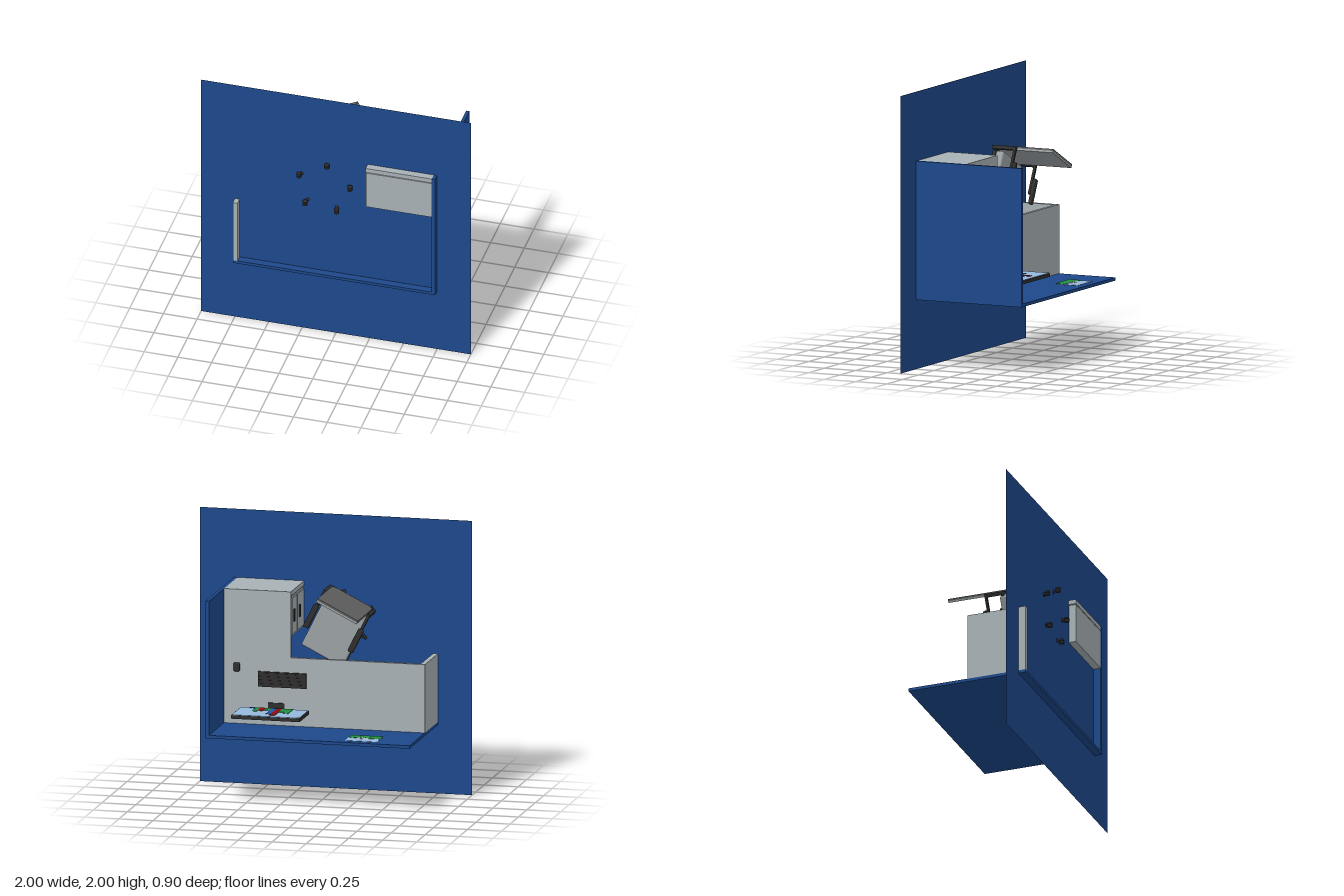
import * as THREE from 'three';
import { RoundedBoxGeometry } from 'three/addons/geometries/RoundedBoxGeometry.js';

const mat = (name, color, side = THREE.FrontSide) => {
  const m = new THREE.MeshStandardMaterial({ color, side });
  m.name = name;
  return m;
};
const M = {
  blue: mat('panelBlue', 0x1d488b, THREE.DoubleSide),
  gray: mat('deskGray', 0xa7b1b5),
  shell: mat('chairShell', 0x5f5f5f),
  cushion: mat('cushionGray', 0x9aa1a3),
  dark: mat('darkPlastic', 0x2e2e2e),
  sky: mat('skyBlue', 0x96b8dc),
  green: mat('green', 0x1f8f40),
  red: mat('red', 0x8c0c0c),
  chart: mat('chartBlue', 0x2450a0),
  cloud: mat('cloud', 0xb4b8b4),
};

function add(parent, name, geo, material, x = 0, y = 0, z = 0) {
  const m = new THREE.Mesh(geo, material);
  m.name = name;
  m.position.set(x, y, z);
  parent.add(m);
  return m;
}
// box given by its min and max on each axis
const box = (p, name, m, x0, x1, y0, y1, z0, z1) =>
  add(p, name, new THREE.BoxGeometry(x1 - x0, y1 - y0, z1 - z0), m,
    (x0 + x1) / 2, (y0 + y1) / 2, (z0 + z1) / 2);
// tapered cylinder between two points
function rod(p, name, m, a, b, ra, rb, sides = 10) {
  const d = b.clone().sub(a);
  const r = add(p, name, new THREE.CylinderGeometry(rb, ra, d.length(), sides), m);
  r.position.copy(a).addScaledVector(d, 0.5);
  r.quaternion.setFromUnitVectors(new THREE.Vector3(0, 1, 0), d.normalize());
}
const V = (x, y, z) => new THREE.Vector3(x, y, z);

function buildChair() {
  const chair = new THREE.Group();
  chair.name = 'chair';
  // five-star base with casters
  for (let i = 0; i < 5; i++) {
    const t = (i * 72 - 15.6) * Math.PI / 180;
    const c = Math.cos(t), s = Math.sin(t);
    rod(chair, 'baseLeg', M.dark, V(c * 0.015, 0.165, s * 0.015), V(c * 0.2, 0.05, s * 0.2), 0.02, 0.012, 8);
    const caster = new THREE.Group();
    caster.name = 'caster';
    caster.position.set(c * 0.2, 0.022, s * 0.2);
    caster.rotation.y = 0.464;
    for (const k of [-1, 1]) {
      add(caster, 'wheel', new THREE.CylinderGeometry(0.019, 0.019, 0.014, 12), M.dark, 0, 0, k * 0.009).rotation.x = Math.PI / 2;
    }
    chair.add(caster);
  }
  rod(chair, 'column', M.dark, V(0, 0.14, 0), V(0, 0.295, 0), 0.034, 0.018, 12);
  // seat
  box(chair, 'seatPan', M.dark, -0.17, 0.17, 0.285, 0.312, -0.25, 0.225);
  add(chair, 'seatCushion', new RoundedBoxGeometry(0.34, 0.06, 0.44, 2, 0.014), M.cushion, 0, 0.34, -0.03);
  // backrest with rounded lower corners
  const w = 0.166, r = 0.04, b = 0.302, t = 0.757;
  const s = new THREE.Shape();
  s.moveTo(-w + r, b);
  s.lineTo(w - r, b);
  s.quadraticCurveTo(w, b, w, b + r);
  s.lineTo(w, t);
  s.lineTo(-w, t);
  s.lineTo(-w, b + r);
  s.quadraticCurveTo(-w, b, -w + r, b);
  const slab = new THREE.ExtrudeGeometry(s, { depth: 0.014, bevelEnabled: false, curveSegments: 6 });
  add(chair, 'backrestShell', slab, M.shell, 0, 0, 0.216);
  add(chair, 'backrestCushion', slab, M.cushion, 0, 0, 0.202);
  // rear frame and armrests
  box(chair, 'rearFrame', M.dark, -0.19, 0.19, 0.285, 0.302, 0.195, 0.222);
  for (const k of [-1, 1]) {
    const x = k * 0.18;
    box(chair, 'frameUpright', M.dark, x - 0.011, x + 0.011, 0.285, 0.47, 0.195, 0.222);
    box(chair, 'armBracket', M.dark, x - 0.01, x + 0.01, 0.455, 0.473, -0.01, 0.22);
    add(chair, 'armPad', new RoundedBoxGeometry(0.045, 0.028, 0.19, 2, 0.012), M.dark, k * 0.183, 0.487, 0.01);
  }
  chair.position.set(-0.084, 0, 0.25);
  chair.rotation.y = -0.464;
  return chair;
}

function buildMonitor() {
  const g = new THREE.Group();
  g.name = 'monitor';
  box(g, 'casing', M.dark, 0.085, 0.59, 0.508, 0.792, -0.371, -0.347);
  box(g, 'screen', M.sky, 0.09, 0.585, 0.513, 0.787, -0.348, -0.343);
  box(g, 'neck', M.dark, 0.33, 0.35, 0.45, 0.56, -0.37, -0.35);
  box(g, 'foot', M.dark, 0.28, 0.4, 0.447, 0.455, -0.405, -0.315);
  // bar chart: x start, x end, top, colour
  const bars = [
    [0.2, 0.24, 0.66, M.green], [0.24, 0.28, 0.63, M.green], [0.28, 0.318, 0.745, M.red],
    [0.318, 0.355, 0.708, M.chart], [0.355, 0.4, 0.59, M.green], [0.4, 0.44, 0.608, M.red],
    [0.44, 0.475, 0.635, M.green], [0.475, 0.515, 0.535, M.chart],
  ];
  for (const [x0, x1, top, m] of bars) box(g, 'chartBar', m, x0, x1, 0.513, top, -0.343, -0.34);
  box(g, 'screenIcon', M.red, 0.092, 0.106, 0.777, 0.785, -0.343, -0.341);
  return g;
}

function buildPicture() {
  const g = new THREE.Group();
  g.name = 'wallPicture';
  box(g, 'pictureSky', M.sky, -0.495, -0.26, 0.657, 0.838, -0.479, -0.476);
  const flat = (name, pts, m, z) => {
    const s = new THREE.Shape(pts.map(([x, y]) => new THREE.Vector2(x, y)));
    add(g, name, new THREE.ExtrudeGeometry(s, { depth: 0.002, bevelEnabled: false }), m, 0, 0, z);
  };
  flat('pictureCloud', [[-0.44, 0.735], [-0.35, 0.71], [-0.35, 0.76], [-0.38, 0.765], [-0.41, 0.755]], M.cloud, -0.476);
  flat('pictureHills', [[-0.495, 0.657], [-0.26, 0.657], [-0.26, 0.73], [-0.31, 0.745], [-0.36, 0.71],
    [-0.39, 0.735], [-0.43, 0.735], [-0.445, 0.748], [-0.495, 0.748]], M.green, -0.475);
  return g;
}

export function createModel() {
  const office = new THREE.Group();
  office.name = 'officeCubicle';

  // carpet, with the furniture sunk a little through it, and partitions
  add(office, 'floor', new THREE.PlaneGeometry(2, 2), M.blue, 0, 0.055, 0).rotation.x = -Math.PI / 2;
  box(office, 'backPartition', M.blue, -0.75, 0.75, 0, 0.897, -0.5, -0.478);
  box(office, 'sidePartition', M.blue, 0.725, 0.75, 0, 0.897, -0.478, 0.5);

  // L-shaped desk
  box(office, 'deskTop', M.gray, -0.75, 0.725, 0.42, 0.447, -0.478, 0.02);
  box(office, 'deskReturn', M.gray, 0.235, 0.725, 0.42, 0.447, 0.02, 0.5);
  box(office, 'deskLegPanel', M.gray, -0.75, -0.715, 0, 0.42, -0.478, 0.02);
  box(office, 'deskEndPanel', M.gray, 0.235, 0.725, 0, 0.42, 0.467, 0.5);

  // drawer cabinet
  box(office, 'cabinet', M.gray, 0.238, 0.725, 0, 0.42, 0.17, 0.461);
  for (const [y0, y1, h] of [[0.275, 0.41, 0.36], [0.065, 0.265, 0.2]]) {
    box(office, 'drawerFront', M.gray, 0.232, 0.238, y0, y1, 0.185, 0.446);
    box(office, 'drawerHandle', M.dark, 0.225, 0.232, h - 0.012, h + 0.012, 0.27, 0.36);
  }

  // desk equipment
  office.add(buildMonitor(), buildPicture(), buildChair());
  box(office, 'keyboard', M.dark, 0.12, 0.475, 0.447, 0.458, -0.2, -0.09);
  for (let r = 0; r < 4; r++) {
    box(office, 'keyRow', M.dark, 0.13, 0.465, 0.458, 0.463, -0.192 + r * 0.025, -0.174 + r * 0.025);
  }
  add(office, 'mouse', new RoundedBoxGeometry(0.045, 0.022, 0.065, 3, 0.01), M.dark, 0.63, 0.457, -0.065);

  // the whole scene lies on its back edge
  office.rotation.x = -Math.PI / 2;
  office.position.set(0, 1, 0.4485);
  const root = new THREE.Group();
  root.name = 'model';
  root.add(office);
  return root;
}
